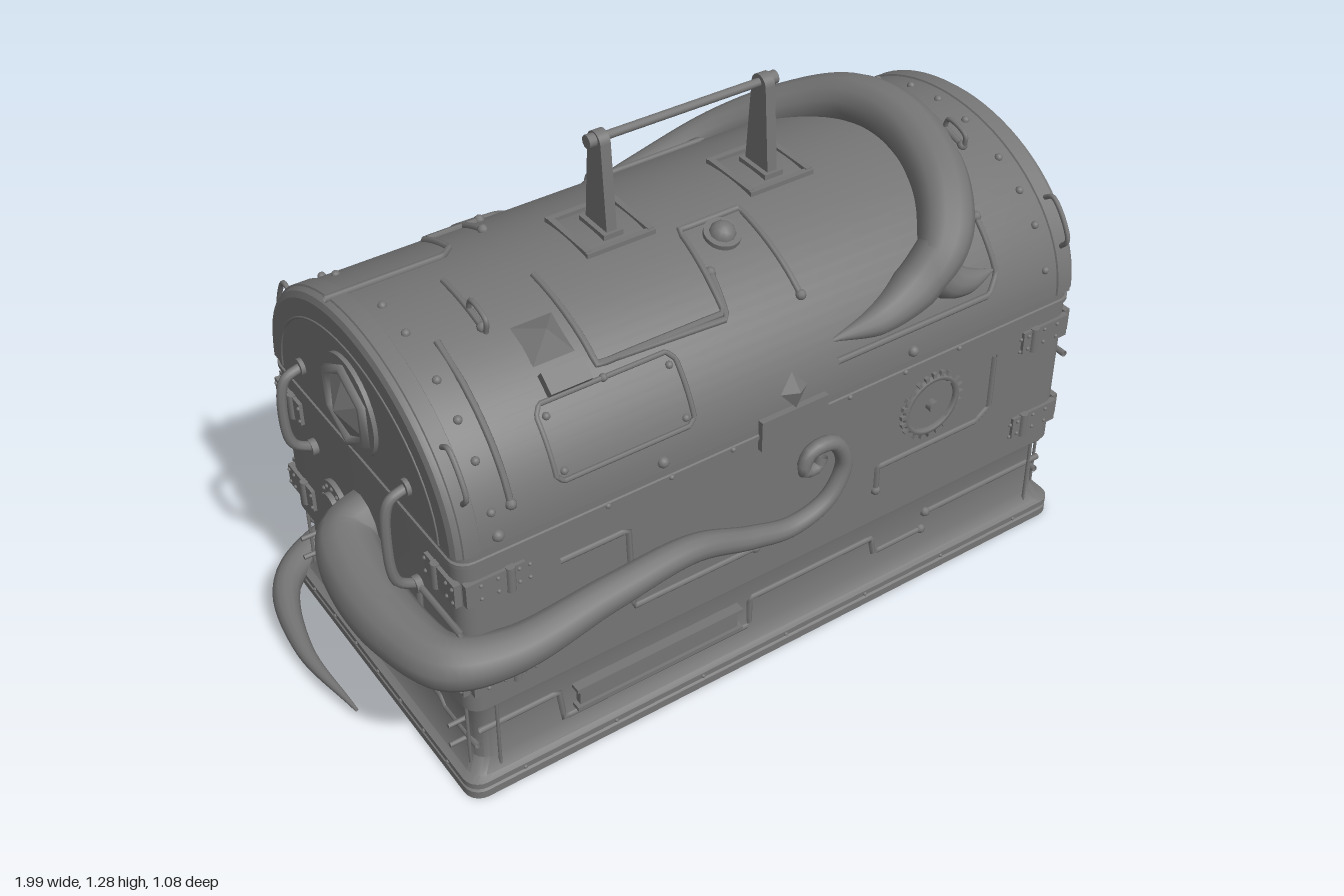
import * as THREE from 'three';
import { toCreasedNormals } from 'three/addons/utils/BufferGeometryUtils.js';

const V = (x, y, z) => new THREE.Vector3(x, y, z);
const mat = new THREE.MeshStandardMaterial({ color: 0x757575, side: THREE.DoubleSide });
const CZ = 0.025, HZ = 0.425, LY = 0.7, LH = 0.34; // chest centre and lid arch

export function createModel() {
  const root = new THREE.Group();

  // Adds a mesh whose local +z points along n
  const add = (name, geo, p = V(0, 0, 0), n = V(0, 0, 1)) => {
    const m = new THREE.Mesh(geo, mat);
    m.name = name;
    m.position.copy(p);
    m.lookAt(p.clone().add(n));
    root.add(m);
    return m;
  };

  // Surface through rows of points
  const loft = (rows) => {
    const n = rows[0].length, idx = [];
    for (let i = 0; i < rows.length - 1; i++)
      for (let j = 0; j < n - 1; j++) {
        const a = i * n + j, b = a + n;
        idx.push(a, b, a + 1, b, b + 1, a + 1);
      }
    const g = new THREE.BufferGeometry().setFromPoints(rows.flat());
    g.setIndex(idx);
    return toCreasedNormals(g, 0.6);
  };

  // Points on the chest faces
  const arch = (v) => Math.sqrt(Math.max(0, 1 - v * v));
  const wall = (s) => (x, y) => V(x, y, CZ + s * (y < 0.25 ? 0.41 : y > LY ? HZ * arch((y - LY) / LH) + 0.002 : HZ));
  const front = wall(1), back = wall(-1);
  const end = (s) => (z, y) => V(s * (y < 0.25 ? 0.815 : 0.84), y, z);
  const top = (x, z) => V(x, LY + LH * arch((z - CZ) / HZ) + 0.003, z);
  const lidNormal = (p) => V(0, Math.max(0, p.y - LY) / LH ** 2, (p.z - CZ) / HZ ** 2).normalize();

  const disc = (r, h, n = 24, r2 = r) => new THREE.CylinderGeometry(r2, r, h, n).rotateX(Math.PI / 2);
  const dome = (r) => new THREE.SphereGeometry(r, 10, 5, 0, Math.PI * 2, 0, Math.PI / 2).rotateX(Math.PI / 2);
  const bolt = (p, n, r = 0.01) => add('rivet', dome(r), p, n);

  // Thin pipe hugging a surface, with a round fitting at its free end
  const pipe = (name, pts, surf, r = 0.008) => {
    const P = [];
    pts.slice(1).forEach(([a, b], i) => {
      const [c, d] = pts[i];
      for (let k = 0; k < 6; k++) P.push(surf(c + (a - c) * k / 6, d + (b - d) * k / 6));
    });
    P.push(surf(...pts[pts.length - 1]));
    const c = new THREE.CatmullRomCurve3(P, false, 'catmullrom', 0.1);
    add(name, new THREE.TubeGeometry(c, P.length * 2, r, 6));
    add(name + 'End', new THREE.SphereGeometry(r * 1.6, 8, 6), P[P.length - 1]);
  };
  const tube = (name, pts, r) =>
    add(name, new THREE.TubeGeometry(new THREE.CatmullRomCurve3(pts), 30, r, 8));

  // Tapered limb: a unit tube with every ring scaled to its own radius
  const limb = (name, pts, radii, seg = 24, sides = 12) => {
    const c = new THREE.CatmullRomCurve3(pts.map((p) => V(...p)));
    const g = new THREE.TubeGeometry(c, seg, 1, sides), pos = g.attributes.position, v = V(0, 0, 0);
    for (let i = 0; i < pos.count; i++) {
      const u = Math.floor(i / (sides + 1)) / seg, f = u * (radii.length - 1);
      const k = Math.min(Math.floor(f), radii.length - 2);
      const r = THREE.MathUtils.lerp(radii[k], radii[k + 1], f - k), p = c.getPointAt(u);
      v.fromBufferAttribute(pos, i).sub(p).multiplyScalar(r).add(p);
      pos.setXYZ(i, v.x, v.y, v.z);
    }
    add(name, g);
  };

  // Hollow body: plinth, inset base, walls and seam lip
  const ring = ([y, hx, hz]) => {
    const pts = [], r = 0.04;
    [[1, 1], [-1, 1], [-1, -1], [1, -1]].forEach(([sx, sz], q) => {
      for (let k = 0; k <= 5; k++) {
        const a = (q + k / 5) * Math.PI / 2;
        pts.push(V(sx * (hx - r) + r * Math.cos(a), y, CZ + sz * (hz - r) + r * Math.sin(a)));
      }
    });
    return [...pts, pts[0].clone()];
  };
  add('body', loft([[0, .855, .44], [.02, .855, .44], [.024, .848, .434], [.03, .855, .44], [.045, .855, .44],
    [.052, .838, .428], [.085, .818, .412], [.225, .814, .408], [.25, .822, .415], [.252, .835, HZ], [.668, .835, HZ],
    [.67, .839, .429], [.68, .839, .429], [.682, .835, HZ], [LY, .835, HZ]].map(ring)));

  // Barrel lid with softened ends
  const archRow = (x, k) => Array.from({ length: 41 }, (_, i) => {
    const t = i / 40 * Math.PI;
    return V(x, LY + (LH - k) * Math.sin(t), CZ + (HZ - k) * Math.cos(t));
  });
  add('lid', loft([[-.84, .02], [-.834, .006], [-.82, 0], [.82, 0], [.834, .006], [.84, .02]].map((a) => archRow(...a))));
  for (const s of [-1, 1]) {
    const shape = new THREE.Shape(archRow(0, .02).map((p) => new THREE.Vector2(s * -p.z, p.y)));
    add('lidEnd', new THREE.ShapeGeometry(shape), V(s * .84, 0, 0), V(s, 0, 0));
    add('lidHoop', loft([[.78, 0], [.782, -.004], [.82, -.004], [.822, 0]].map(([x, k]) => archRow(s * x, k))));
    tube('endPanelTrim', archRow(s * .84, .065), .003);
    for (let i = 1; i < 12; i++) {
      const p = archRow(s * .745, 0)[Math.round(i * 40 / 12)];
      bolt(p, lidNormal(p));
    }
  }

  // Carrying handle
  for (const s of [-1, 1]) {
    const x = s * .215;
    for (const d of [-1, 1]) {
      add('handleSocket', new THREE.BoxGeometry(.175, .02, .015), V(x, 1.034, CZ + d * .08));
      add('handleSocket', new THREE.BoxGeometry(.015, .02, .16), V(x + d * .08, 1.036, CZ));
    }
    add('handleFoot', new THREE.BoxGeometry(.05, .02, .1), V(x, 1.04, .03));
    const post = new THREE.Shape();
    post.moveTo(-.045, 0).lineTo(.045, 0).lineTo(.026, .24).absarc(0, .24, .026, 0, Math.PI);
    add('handlePost', new THREE.ExtrudeGeometry(post, { depth: .026, bevelEnabled: false }).translate(0, 0, -.013),
      V(x, 1.015, .03), V(1, 0, 0));
    add('handleCap', disc(.016, .02, 12), V(s * .237, 1.262, .03), V(1, 0, 0));
  }
  add('handleBar', disc(.01, .48, 12), V(0, 1.262, .03), V(1, 0, 0));

  // Corner straps with hinge barrels, corner rods and plinth rivets
  for (const sx of [-1, 1]) for (const sz of [-1, 1]) {
    for (const y of [.34, .6]) {
      const f = CZ + sz * HZ;
      add('cornerStrap', new THREE.BoxGeometry(.14, .06, .016), V(sx * .755, y, f));
      add('cornerStrap', new THREE.BoxGeometry(.016, .06, .125), V(sx * .836, y, f - sz * .07));
      add('hingeBarrel', new THREE.CylinderGeometry(.011, .011, .066, 10), V(sx * .72, y, f + sz * .006));
      add('hingeBarrel', new THREE.CylinderGeometry(.011, .011, .066, 10), V(sx * .841, y, f - sz * .09));
      for (const d of [-.018, .018]) for (const e of [.675, .7, .75, .79]) {
        bolt(V(sx * e, y + d, f + sz * .008), V(0, 0, sz), .005);
        bolt(V(sx * .844, y + d, f - sz * (e - .66)), V(sx, 0, 0), .005);
      }
    }
    add('cornerRod', new THREE.CylinderGeometry(.004, .004, .21, 6), V(sx * .825, .15, CZ + sz * .385));
    add('cornerRod', new THREE.CylinderGeometry(.004, .004, .21, 6), V(sx * .77, .15, CZ + sz * .42));
    for (const y of [.12, .18]) add('cornerPeg', disc(.006, .05, 8), V(sx * .835, y, CZ + sz * .36), V(1, 0, 0));
  }
  for (const s of [-1, 1]) {
    for (let i = -3; i <= 3; i++) {
      bolt(V(i * .24, .036, CZ + s * .44), V(0, 0, s), .005);
      bolt(V(i * .16, .675, CZ + s * .428), V(0, 0, s), .007);
      bolt(V(s * .855, .036, CZ + i * .11), V(s, 0, 0), .005);
    }
  }

  // Both ends: hexagonal jewel, arched pipes and a bolted port
  for (const s of [-1, 1]) {
    const n = V(s, 0, 0), P = end(s);
    add('jewelPlate', disc(.118, .02, 40), P(.03, .83), n);
    add('jewelFrame', new THREE.TorusGeometry(.094, .013, 6, 6).rotateZ(Math.PI / 6), P(.03, .83).addScaledVector(n, .012), n);
    add('jewel', toCreasedNormals(disc(.09, .035, 6, .0), .1), P(.03, .83).addScaledVector(n, .026), n);
    for (const [z, y0] of [[.265, .5], [-.22, .54]]) {
      tube('archedPipe', [P(z, .77), V(s * .885, .75, z), V(s * .9, .64, z), V(s * .885, y0 + .03, z), P(z, y0)], .012);
      for (const y of [.77, y0]) add('pipeCollar', disc(.02, .02, 12), P(z, y), n);
    }
    const pz = s > 0 ? .18 : -.13, py = s > 0 ? .545 : .43;
    add('port', disc(.064, .014), P(pz, py), n);
    add('portHub', disc(.036, .04, 20), P(pz, py), n);
    for (let i = 0; i < 12; i++) {
      const a = i * Math.PI / 6;
      bolt(P(pz + .05 * Math.cos(a), py + .05 * Math.sin(a)).addScaledVector(n, .006), n, .006);
    }
    pipe('endPipe', [[.45, .5], [.27, .5], [.265, .42], [.08, .42]], P);
    pipe('basePipe', [[.43, .13], [.29, .13], [.27, .15], [.19, .15], [.18, .19], [.02, .19], [.01, .22],
      [-.12, .22], [-.13, .13], [-.22, .13]], P);
  }

  // Front: access panel, lock, wheel, vent
  const onLid = (name, geo, p, lift = 0) => {
    const n = lidNormal(p);
    return add(name, geo, p.clone().addScaledVector(n, lift), n);
  };
  pipe('accessPanelEdge', [[-.42, .92], [-.575, .92], [-.59, .905], [-.59, .795], [-.575, .78], [-.265, .78],
    [-.25, .795], [-.25, .905], [-.265, .92], [-.42, .92]], front, .006);
  for (const x of [-.57, -.27]) for (const y of [.8, .9]) onLid('rivet', dome(.009), front(x, y));
  for (const x of [-.74, -.34, .34]) onLid('rivet', dome(.014), front(x, .725));
  add('lockPlate', new THREE.BoxGeometry(.18, .08, .02), front(0, .68).add(V(0, 0, .004)));
  onLid('lockDiamond', new THREE.OctahedronGeometry(.04).scale(.9, 1.1, .6), front(0, .765), .01);
  const wc = V(.41, .54, .452);
  add('wheelRim', new THREE.TorusGeometry(.075, .009, 6, 32), wc);
  add('wheelHub', disc(.015, .03, 12), wc);
  for (let i = 0; i < 24; i++)
    add('wheelTooth', new THREE.BoxGeometry(.016, .01, .014).translate(.085, 0, 0).rotateZ(i * Math.PI / 12), wc);
  for (const a of [-1, 1]) add('wheelSpoke', new THREE.BoxGeometry(.15, .01, .012).rotateZ(a * Math.PI / 4), wc);
  add('vent', new THREE.BoxGeometry(.43, .045, .03), V(-.35, .15, .437));
  for (const d of [-1, 1]) add('ventFrame', new THREE.BoxGeometry(.45, .01, .045), V(-.35, .15 + d * .028, .437));
  pipe('frontPipe', [[-.6, .58], [-.43, .58], [-.42, .35], [-.09, .35]], front);
  pipe('frontPipe', [[.6, .6], [.6, .45], [.56, .42], [.26, .42], [.26, .35]], front);
  pipe('frontBasePipe', [[-.81, .18], [-.61, .18], [-.6, .095], [-.09, .095], [-.09, .18], [.27, .18], [.28, .13], [.43, .13]], front);
  pipe('frontBasePipe', [[.81, .18], [.44, .18]], front);
  pipe('lidPipe', [[-.7, 1.02], [-.7, .78]], front);
  pipe('lidPipe', [[.13, .78], [.57, .78], [.6, .82], [.6, .93]], front);
  pipe('lidPipe', [[-.42, .94], [-.1, .93], [-.08, .99]], front);

  // Lid top: pipes, domes, studs and clips
  [[[-.83, -.07], [-.55, -.07], [-.52, -.1], [-.52, -.22], [-.38, -.22]],
    [[-.2, -.36], [-.3, -.3], [-.42, -.27], [-.42, -.13]], [[.4, -.3], [.24, -.3], [.23, -.23], [-.08, -.22]],
    [[.5, -.25], [.6, -.25], [.68, -.2], [.68, .19]], [[-.6, .02], [-.6, .18]],
    [[-.43, .1], [-.42, .33], [-.1, .33], [-.08, .13], [.08, .13], [.09, .35]]].forEach((p) => pipe('lidTopPipe', p, top));
  for (const z of [.18, -.33]) {
    onLid('lidDomeRing', disc(.043, .016), top(0, z));
    onLid('lidDome', dome(.032), top(0, z));
  }
  onLid('pyramidStud', toCreasedNormals(disc(.07, .045, 4, 0).rotateZ(Math.PI / 4), .1), top(-.5, .25), .018);
  onLid('lidButton', new THREE.BoxGeometry(.09, .06, .05), top(.53, -.37));
  onLid('lidButton', new THREE.BoxGeometry(.1, .05, .04), top(-.5, .33));
  for (const [x, z] of [[-.6, .16], [.68, .16], [-.8, .39], [.8, .39], [.8, -.37], [-.8, -.37]]) {
    const P = [-1, -.8, .8, 1].map((k, i) => {
      const p = top(x, z + k * .035);
      return p.addScaledVector(lidNormal(p), i % 3 ? .03 : 0);
    });
    tube('lidClip', P, .006);
  }

  // Back: holed valve, knob, vent and pipes
  const bn = V(0, 0, -1);
  add('valve', disc(.07, .025, 30), back(.21, .41), bn);
  for (let i = 0; i < 6; i++)
    add('valveRing', new THREE.TorusGeometry(.015, .005, 6, 12),
      back(.21 + .045 * Math.cos(i * Math.PI / 3), .41 + .045 * Math.sin(i * Math.PI / 3)).add(V(0, 0, -.014)), bn);
  add('knob', disc(.065, .06, 28, .058), back(-.25, .44), bn);
  add('knobRing', new THREE.TorusGeometry(.052, .012, 8, 28), back(-.25, .44).add(V(0, 0, -.03)), bn);
  for (let i = 0; i < 6; i++) add('backVentFin', disc(.035, .05, 12), back(.55 + i * .025, .15), V(1, 0, 0)).scale.set(1, 1, .2);
  pipe('backPipe', [[.6, .6], [.6, .5], [.1, .5], [.05, .56], [-.1, .56]], back);
  pipe('backPipe', [[-.35, .35], [-.5, .35], [-.5, .5], [-.7, .5]], back);
  pipe('backBasePipe', [[.8, .18], [.3, .18], [.28, .1], [-.2, .1], [-.2, .18], [-.8, .18]], back);

  // Tentacle from the right-hand end, curling across the front
  limb('frontTentacle', [[-.8, .49, 0], [-.88, .47, .02], [-.915, .45, .14], [-.91, .435, .32], [-.87, .43, .44], [-.75, .43, .485],
    [-.5, .46, .485], [-.28, .465, .475], [-.12, .41, .47], [0, .385, .47], [.1, .42, .47], [.145, .5, .465], [.11, .575, .465],
    [.045, .575, .465], [.03, .53, .465], [.07, .525, .465], [.08, .55, .465]],
  [.07, .075, .072, .062, .05, .042, .036, .03, .025, .021, .019, .014], 110);

  // Back tentacle gripping the left end, sweeping down to the ground
  limb('backTentacle', [[.85, .45, .02], [.87, .45, -.1], [.91, .46, -.25], [.92, .47, -.37], [.86, .44, -.45], [.72, .34, -.462],
    [.45, .225, -.462], [.2, .15, -.462], [0, .105, -.46], [-.4, .065, -.455], [-.75, .05, -.445], [-.9, .045, -.36],
    [-.965, .035, -.15], [-.95, .03, .1]], [.035, .07, .075, .08, .078, .072, .066, .06, .056, .05, .044, .034, .02, .004], 110);
  limb('backTentacleFinger', [[.875, .46, -.15], [.865, .475, -.06], [.86, .53, .02], [.85, .585, .1]], [.05, .055, .03, .004]);
  limb('backTentacleFinger', [[.875, .44, -.15], [.865, .41, -.04], [.86, .345, .08], [.86, .315, .15], [.85, .325, .25]], [.05, .055, .035, .022, .003]);

  // Tentacle draped over the lid, tip curling on the back
  limb('lidTentacle', [[.36, .87, .43], [.44, .95, .41], [.51, 1.035, .31], [.555, 1.085, .12], [.54, 1.08, -.04], [.47, 1.025, -.18],
    [.34, .94, -.31], [.16, .85, -.385], [-.02, .78, -.42], [-.16, .745, -.425], [-.26, .76, -.42], [-.28, .81, -.405],
    [-.23, .825, -.4], [-.21, .795, -.41]], [.04, .064, .066, .064, .06, .055, .048, .04, .032, .025, .02, .015, .006], 100);
  limb('lidTentacleFinger', [[.44, .95, .41], [.36, .88, .42], [.26, .835, .425], [.13, .825, .42]], [.055, .055, .035, .004]);
  limb('lidTentacleFinger', [[.42, .93, .41], [.43, .88, .425], [.49, .845, .43], [.59, .83, .42]], [.045, .045, .028, .004]);
  return root;
}
